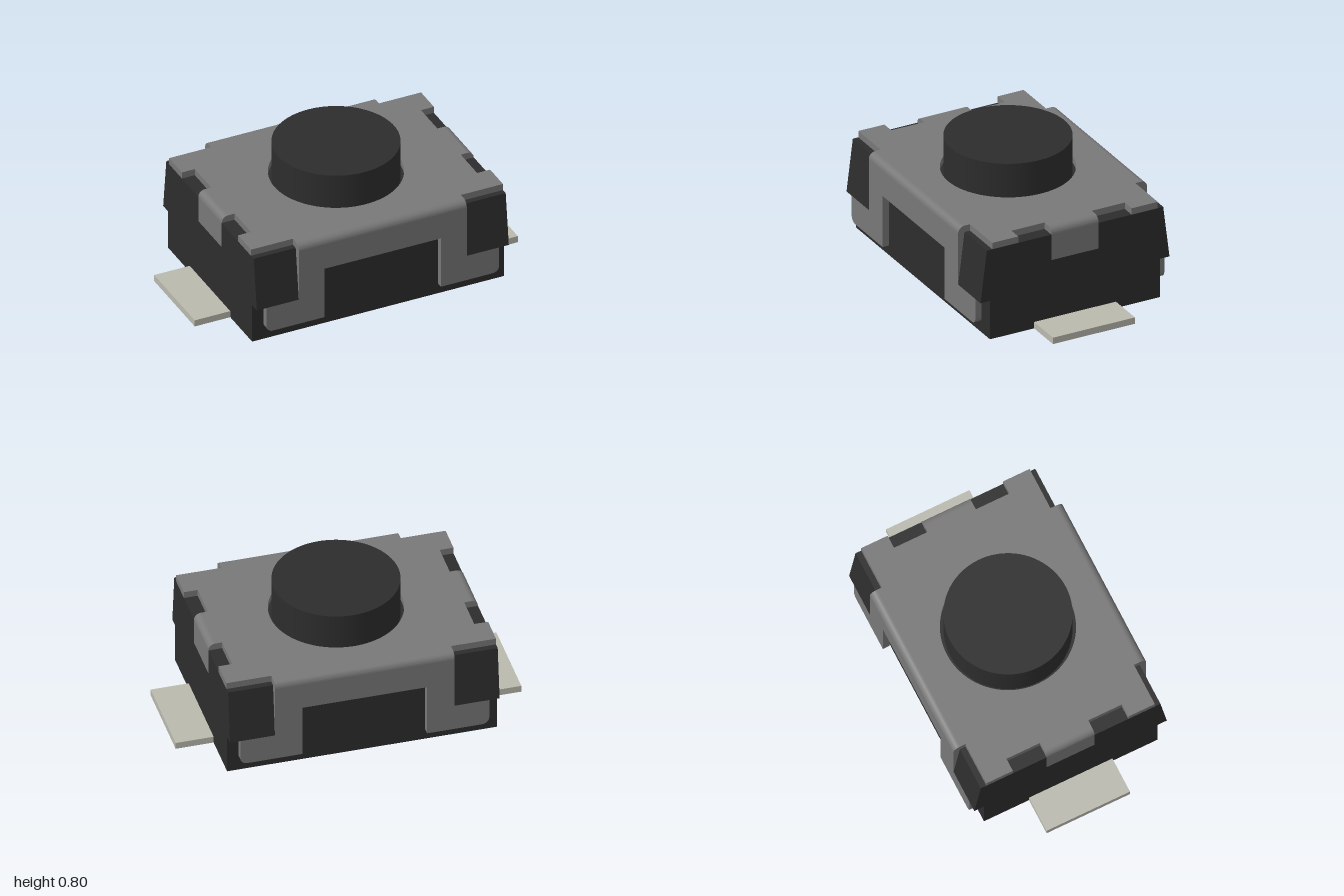
import * as THREE from 'three';
import { toCreasedNormals } from 'three/addons/utils/BufferGeometryUtils.js';

const plastic = new THREE.MeshStandardMaterial({ name: 'black plastic', color: 0x2d2d2d });
const steel = new THREE.MeshStandardMaterial({ name: 'grey steel', color: 0x787878 });
const tin = new THREE.MeshStandardMaterial({ name: 'tinned metal', color: 0xbab9ae });

const shapeOf = (pts) => new THREE.Shape(pts.map(([a, b]) => new THREE.Vector2(a, b)));
const extrude = (shape, depth) => toCreasedNormals(
  new THREE.ExtrudeGeometry(shape, { depth, bevelEnabled: false, curveSegments: 48 }), 0.5);

// Extrudes a (z, y) section along x, from x0 to x1
const alongX = (shape, x0, x1) => extrude(shape, x1 - x0).rotateY(-Math.PI / 2).translate(x1, 0, 0);

// Quarter-round section filling the outer corner of a sheet bend
function bendSection(a, b, r) {
  const s = new THREE.Shape();
  s.moveTo(a, b);
  s.lineTo(a + r, b);
  s.absarc(a, b, r, 0, Math.PI / 2, false);
  s.lineTo(a, b);
  return s;
}

function add(parent, name, geometry, material) {
  const mesh = new THREE.Mesh(geometry, material);
  mesh.name = name;
  parent.add(mesh);
  return mesh;
}

function box(x0, x1, y0, y1, z0, z1) {
  return new THREE.BoxGeometry(x1 - x0, y1 - y0, z1 - z0)
    .translate((x0 + x1) / 2, (y0 + y1) / 2, (z0 + z1) / 2);
}

export function createModel() {
  const model = new THREE.Group();
  model.name = 'pushSwitch';

  // Housing core between the end blocks
  add(model, 'housingCore', box(-0.52, 0.52, 0, 0.56, -0.54, 0.54), plastic);

  // End section with flared corner blocks; the outer skin is notched for the side tab
  const half = [[0.54, 0], [0.54, 0.24], [0.6, 0.24], [0.56, 0.56]];
  const otherHalf = half.map(([z, y]) => [-z, y]).reverse();
  const endSection = shapeOf([...half, ...otherHalf]);
  const notchedSection = shapeOf([
    ...half, [0.15, 0.56], [0.15, 0.4], [-0.15, 0.4], [-0.15, 0.56], ...otherHalf]);

  // Both ends: housing, side tab and terminal
  for (const [side, turn] of [['left', 0], ['right', Math.PI]]) {
    const end = new THREE.Group();
    end.name = side + 'End';
    end.rotation.y = turn;
    add(end, 'endBlock', alongX(endSection, 0.52, 0.74), plastic);
    add(end, 'endSkin', alongX(notchedSection, 0.74, 0.78), plastic);
    add(end, 'sideTab', box(0.74, 0.78, 0.4, 0.56, -0.15, 0.15), steel);
    add(end, 'sideTabBend',
      extrude(bendSection(0.74, 0.56, 0.04), 0.3).translate(0, 0, -0.15), steel);
    add(end, 'terminal', box(0.78, 1, 0, 0.04, -0.26, 0.26), tin);
    model.add(end);
  }

  // Cover top: one quadrant of the notched outline, mirrored four ways
  const q = [[0.74, 0.15], [0.7, 0.15], [0.7, 0.36], [0.78, 0.36],
    [0.78, 0.525], [0.52, 0.525], [0.52, 0.56]];
  const flip = (sx, sz) => q.map(([x, z]) => [x * sx, z * sz]);
  const top = shapeOf([...flip(1, 1), ...flip(-1, 1).reverse(),
    ...flip(-1, -1), ...flip(1, -1).reverse()]);
  const hole = new THREE.Path();
  hole.absarc(0, 0, 0.38, 0, Math.PI * 2, true);
  top.holes.push(hole);
  add(model, 'coverTop', extrude(top, 0.04).rotateX(Math.PI / 2).translate(0, 0.6, 0), steel);

  // Folded cover skirt with two clip legs and rounded outer toes
  const skirt = new THREE.Shape();
  skirt.moveTo(-0.52, 0.56);
  skirt.lineTo(-0.52, 0.24);
  skirt.lineTo(-0.72, 0.24);
  skirt.lineTo(-0.72, 0.12);
  skirt.absarc(-0.68, 0.12, 0.04, Math.PI, Math.PI * 1.5, false);
  skirt.lineTo(-0.36, 0.08);
  skirt.lineTo(-0.36, 0.4);
  skirt.lineTo(0.36, 0.4);
  skirt.lineTo(0.36, 0.08);
  skirt.lineTo(0.68, 0.08);
  skirt.absarc(0.68, 0.12, 0.04, Math.PI * 1.5, Math.PI * 2, false);
  skirt.lineTo(0.72, 0.24);
  skirt.lineTo(0.52, 0.24);
  skirt.lineTo(0.52, 0.56);

  for (const [side, turn] of [['front', 0], ['back', Math.PI]]) {
    const fold = new THREE.Group();
    fold.name = side + 'CoverFold';
    fold.rotation.y = turn;
    add(fold, 'skirt', extrude(skirt, 0.04).translate(0, 0, 0.56), steel);
    add(fold, 'skirtBend', alongX(bendSection(0.56, 0.56, 0.04), -0.52, 0.52), steel);
    model.add(fold);
  }

  // Round push button
  add(model, 'button',
    new THREE.CylinderGeometry(0.36, 0.36, 0.24, 96).translate(0, 0.68, 0), plastic);

  return model;
}
